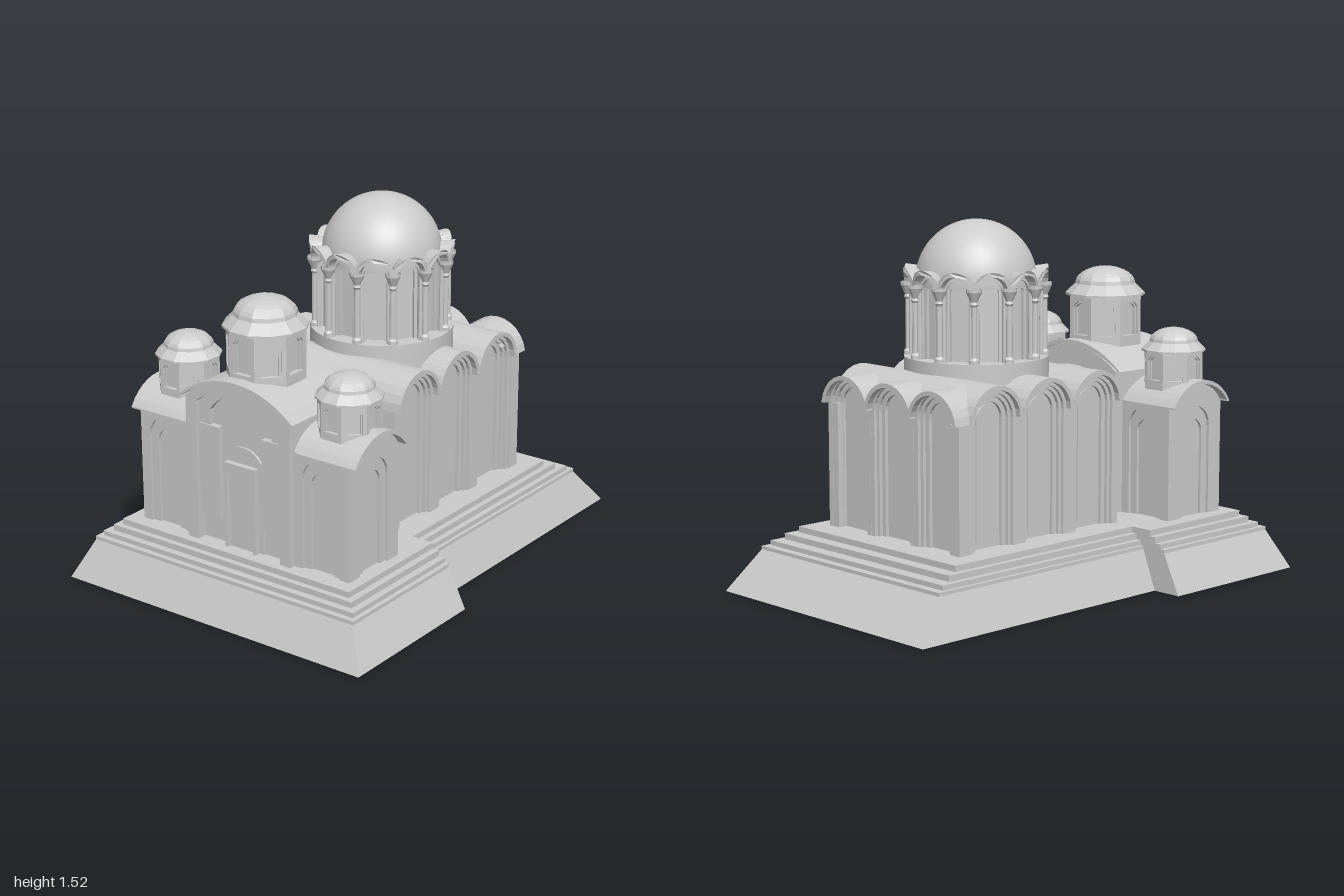
import * as THREE from 'three';

const stone = new THREE.MeshStandardMaterial({ color: 0xcccccc, flatShading: true, side: THREE.DoubleSide });
const smooth = new THREE.MeshStandardMaterial({ color: 0xcccccc });

function add(parent, name, geo, x = 0, y = 0, z = 0, rotY = 0, mat = stone) {
  const m = new THREE.Mesh(geo, mat);
  m.name = name;
  m.position.set(x, y, z);
  m.rotation.y = rotY;
  parent.add(m);
}

function sub(parent, name, x = 0, y = 0, z = 0, rotY = 0) {
  const g = new THREE.Group();
  g.name = name;
  g.position.set(x, y, z);
  g.rotation.y = rotY;
  parent.add(g);
  return g;
}

function box(parent, name, x0, x1, y0, y1, z0, z1) {
  add(parent, name, new THREE.BoxGeometry(x1 - x0, y1 - y0, z1 - z0),
    (x0 + x1) / 2, (y0 + y1) / 2, (z0 + z1) / 2);
}

// Arch outline [half width, bottom, spring height, rise]; rise 0 gives a rectangle
function outline([hw, y0, spring, rise], n = 12) {
  const pts = y0 < spring ? [new THREE.Vector2(-hw, y0)] : [];
  if (rise === 0) {
    pts.push(new THREE.Vector2(-hw, spring), new THREE.Vector2(hw, spring));
  } else {
    const r = (hw * hw + rise * rise) / (2 * rise), a = Math.asin(Math.min(1, hw / r));
    for (let i = 0; i <= n; i++) {
      const t = -a + (2 * a * i) / n;
      pts.push(new THREE.Vector2(r * Math.sin(t), spring + rise - r + r * Math.cos(t)));
    }
  }
  if (y0 < spring) pts.push(new THREE.Vector2(hw, y0));
  return pts;
}

// Solid arch, or a band open at the bottom when an inner outline is given, from z0 to z1
function arch(outer, inner, z0, z1) {
  const pts = outline(outer);
  if (inner) pts.push(...outline(inner).reverse());
  const g = new THREE.ExtrudeGeometry(new THREE.Shape(pts), { depth: z1 - z0, bevelEnabled: false });
  return g.translate(0, 0, z0);
}

// Stepped blind arch facing local +z; each ring sits further back than the one before
function blindArch(parent, name, outer, rings, depth, step) {
  let prev = outer;
  rings.forEach((r, i) => {
    add(parent, name + 'Ring', arch(prev, r, -depth, -step * i));
    prev = r;
  });
  add(parent, name + 'Panel', arch(prev, null, -depth, -step * rings.length));
}

// T-shaped plan: wide front, narrow back
function plan(wf, zf, wb, zb) {
  const zs = 0.28;
  return [[-wb, zb], [wb, zb], [wb, zs], [wf, zs], [wf, zf], [-wf, zf], [-wf, zs], [-wb, zs]];
}

function plinth(parent) {
  const lo = plan(0.74, 1, 0.61, -1), hi = plan(0.66, 0.925, 0.545, -0.86), pos = [];
  lo.forEach((a, i) => {
    const j = (i + 1) % lo.length, b = lo[j], c = hi[j], d = hi[i];
    pos.push(a[0], 0, a[1], d[0], 0.165, d[1], c[0], 0.165, c[1]);
    pos.push(a[0], 0, a[1], c[0], 0.165, c[1], b[0], 0, b[1]);
  });
  const slope = new THREE.BufferGeometry();
  slope.setAttribute('position', new THREE.Float32BufferAttribute(pos, 3));
  slope.computeVertexNormals();
  add(parent, 'plinthSlope', slope);
  // Steps, open under each hollow room
  const rooms = [[-0.33, 0.34, -0.55, 0.26], [-0.22, 0.235, 0.44, 0.75], [0.285, 0.49, 0.49, 0.75], [-0.475, -0.27, 0.49, 0.75]];
  const steps = [[0.66, 0.925, 0.545, -0.86, 0.18], [0.64, 0.9, 0.53, -0.825, 0.2],
    [0.61, 0.87, 0.505, -0.77, 0.225], [0.58, 0.845, 0.48, -0.715, 0.25]];
  steps.forEach(([a, b, c, d, top]) => {
    const shape = new THREE.Shape(plan(a, b, c, d).map(p => new THREE.Vector2(...p)));
    for (const [x0, x1, z0, z1] of rooms) {
      shape.holes.push(new THREE.Path([[x0, z0], [x0, z1], [x1, z1], [x1, z0]].map(p => new THREE.Vector2(...p))));
    }
    const g = new THREE.ExtrudeGeometry(shape, { depth: 0.025, bevelEnabled: false });
    add(parent, 'step', g.rotateX(Math.PI / 2), 0, top, 0);
  });
  // Footings of piers and walls under the floor
  for (const s of [-1, 1]) {
    for (const z of [0.27, 0.0075, -0.28, -0.57]) box(parent, 'footing', s * 0.37 - 0.025, s * 0.37 + 0.025, 0.12, 0.17, z - 0.03, z + 0.03);
    box(parent, 'footing', s * 0.13 - 0.03, s * 0.13 + 0.03, 0.12, 0.17, -0.61, -0.56);
    box(parent, 'footing', s * 0.245 - 0.015, s * 0.245 + 0.015, 0.12, 0.17, 0.28, 0.78);
  }
  for (const z of [0.46, 0.77]) box(parent, 'footing', -0.5, 0.5, 0.12, 0.17, z - 0.015, z + 0.015);
}

function nave(parent) {
  const g = sub(parent, 'nave');
  box(g, 'naveFrontWall', -0.385, 0.385, 0.24, 0.77, 0.262, 0.285);
  const rings = [0.108, 0.093, 0.072].map(r => [r, 0.25, 0.77, r]);
  // Cross vaults with stepped blind arches at both ends
  for (const z of [0.15, -0.135, -0.42]) {
    const v = sub(g, 'crossVault', 0, 0, z, Math.PI / 2);
    add(v, 'vaultRoof', arch([0.143, 0.77, 0.77, 0.14], [0.125, 0.77, 0.77, 0.122], -0.415, 0.415));
    add(v, 'vaultFill', arch([0.142, 0.7, 0.77, 0.13], null, -0.345, 0.345));
    for (const s of [-1, 1]) {
      const bay = sub(g, 'sideBay', s * 0.39, 0, z, s * Math.PI / 2);
      blindArch(bay, 'sideArch', [0.143, 0.25, 0.77, 0.13], rings, 0.06, 0.014);
      add(bay, 'sideWindow', arch([0.058, 0.28, 0.77, 0.058], null, -0.06, -0.036));
    }
  }
  // Short vaults along the back wall, running into the rear cross vault
  for (const x of [-0.265, 0, 0.265]) {
    const bay = sub(g, 'backBay', x, 0, -0.61, Math.PI);
    blindArch(bay, 'backArch', [0.132, 0.25, 0.77, 0.115], rings, 0.06, 0.014);
    add(bay, 'vaultRoof', arch([0.143, 0.77, 0.77, 0.125], [0.125, 0.77, 0.77, 0.107], -0.055, 0.028));
    add(bay, 'vaultCrown', arch([0.12, 0.82, 0.82, 0.075], null, -0.125, -0.05));
  }
  for (const s of [-1, 1]) box(g, 'cornerPier', s * 0.365 - 0.025, s * 0.365 + 0.025, 0.25, 0.77, -0.608, -0.55);
}

function mainDome(parent) {
  const g = sub(parent, 'mainDome', 0.025, 0, -0.13);
  add(g, 'drumBase', new THREE.CylinderGeometry(0.3, 0.3, 0.22, 48), 0, 0.85, 0, 0, smooth);
  add(g, 'drumWall', new THREE.CylinderGeometry(0.236, 0.236, 0.36, 12), 0, 1.13, 0, Math.PI / 12);
  add(g, 'dome', new THREE.SphereGeometry(0.25, 48, 20, 0, Math.PI * 2, 0, Math.PI * 0.52), 0, 1.27, 0, 0, smooth);
  // Scalloped canopy, widening outwards and bulging in plan
  const canopy = arch([0.078, 1.235, 1.25, 0.078], [0.06, 1.235, 1.25, 0.06], 0.22, 0.303);
  const p = canopy.attributes.position;
  for (let i = 0; i < p.count; i++) {
    const x = p.getX(i), z = p.getZ(i);
    p.setXYZ(i, x * z / 0.29, p.getY(i) + (z - 0.3) * 0.1, z > 0.25 ? z - 4 * x * x : z);
  }
  canopy.computeVertexNormals();
  const shaft = new THREE.LatheGeometry([[0.02, 0.96], [0.02, 0.975], [0.013, 0.985], [0.012, 1.19], [0.018, 1.2],
    [0.014, 1.21], [0.032, 1.25], [0.032, 1.262]].map(q => new THREE.Vector2(...q)), 12);
  const slim = new THREE.CylinderGeometry(0.009, 0.01, 0.29, 8);
  for (let k = 0; k < 12; k++) {
    const bay = sub(g, 'drumBay', 0, 0, 0, k * Math.PI / 6);
    add(bay, 'canopy', canopy);
    add(bay, 'windowSurround', arch([0.064, 0.96, 1.24, 0.064], [0.05, 0.96, 1.24, 0.05], 0.22, 0.256));
    add(bay, 'windowFrame', arch([0.05, 0.96, 1.24, 0.05], [0.036, 0.96, 1.24, 0.036], 0.22, 0.242));
    for (const s of [-1, 1]) add(bay, 'slimColumn', slim, s * 0.056, 1.105, 0.262);
    const corner = sub(g, 'drumCorner', 0, 0, 0, (k + 0.5) * Math.PI / 6);
    add(corner, 'column', shaft, 0, 0, 0.28);
  }
}

// Eight-sided lantern with a framed window per face and a faceted cap
function lantern(parent, x, y0, sill, eave, s) {
  const g = sub(parent, 'lantern', x, 0, 0.615);
  const turn = Math.PI / 8, ap = 0.152 * s, R = ap / Math.cos(turn), hw = R * Math.sin(turn);
  add(g, 'lanternBase', new THREE.CylinderGeometry(R, R, sill - y0, 8), 0, (sill + y0) / 2, 0, turn);
  add(g, 'lanternCore', new THREE.CylinderGeometry(R * 0.86, R * 0.86, eave - sill, 8), 0, (eave + sill) / 2, 0, turn);
  const o = 0.034 * s, spring = eave - 0.045 * s;
  for (let k = 0; k < 8; k++) {
    const face = sub(g, 'lanternFace', 0, 0, 0, k * 2 * turn);
    add(face, 'windowFrame', arch([hw, sill, eave, 0], [o + 0.009 * s, sill, spring, 0.026 * s], ap * 0.85, ap));
    add(face, 'windowTrim', arch([o + 0.009 * s, sill, spring, 0.026 * s], [o, sill, spring, 0.018 * s], ap * 0.85, ap * 0.94));
  }
  const cap = [[0, 0], [0.172, 0], [0.172, 0.01], [0.13, 0.05]];
  for (let i = 1; i <= 7; i++) {
    const a = i * Math.PI / 14;
    cap.push([0.13 * Math.cos(a), 0.05 + 0.074 * Math.sin(a)]);
  }
  const profile = cap.map(([r, y]) => new THREE.Vector2(Math.max(r, 0) * s, y * s));
  add(g, 'lanternCap', new THREE.LatheGeometry(profile, 12), 0, eave, 0, Math.PI / 12);
}

function narthex(parent) {
  const g = sub(parent, 'narthex');
  // Link to the nave
  add(g, 'linkBlock', arch([0.26, 0.25, 0.78, 0.085], null, 0.27, 0.42));
  // Central block with recessed doorway
  const gable = [0.26, 0.25, 0.86, 0.09];
  add(g, 'centralWalls', arch(gable, [0.235, 0.25, 0.84, 0.08], 0.42, 0.75));
  add(g, 'centralBackWall', arch(gable, null, 0.412, 0.43));
  add(g, 'centralFrontWall', arch(gable, null, 0.75, 0.765));
  add(g, 'frontFrame', arch(gable, [0.209, 0.25, 0.845, 0.08], 0.765, 0.81));
  add(g, 'centralRoof', arch([0.287, 0.855, 0.86, 0.11], [0.275, 0.855, 0.86, 0.09], 0.41, 0.825));
  add(g, 'lunetteSurround', arch([0.209, 0.75, 0.845, 0.08], [0.155, 0.75, 0.815, 0.085], 0.76, 0.785));
  for (const s of [-1, 1]) box(g, 'frontPanel', s * 0.1585 - 0.05, s * 0.1585 + 0.05, 0.355, 0.75, 0.76, 0.792);
  add(g, 'doorArch', arch([0.1, 0.25, 0.62, 0.065], null, 0.76, 0.775));
  add(g, 'doorFrame', arch([0.077, 0.25, 0.615, 0], [0.064, 0.25, 0.575, 0], 0.76, 0.8));
  add(g, 'door', arch([0.064, 0.25, 0.575, 0], null, 0.76, 0.783));
  lantern(g, -0.004, 0.88, 0.985, 1.15, 1);
  // Side wings with cross gables
  for (const s of [-1, 1]) {
    const wing = sub(g, s > 0 ? 'leftWing' : 'rightWing');
    const x = s * 0.39, rings = [[0.09, 0.25, 0.63, 0.09], [0.055, 0.25, 0.61, 0.055]];
    for (const [z, r] of [[0.782, 0], [0.458, Math.PI]]) {
      const front = sub(wing, 'wingFront', x, 0, z, r);
      blindArch(front, 'wingArch', [0.133, 0.25, 0.735, 0], rings, 0.03, 0.012);
    }
    const end = sub(wing, 'wingEnd', s * 0.526, 0, 0.62, s * Math.PI / 2);
    blindArch(end, 'wingArch', [0.162, 0.25, 0.73, 0.09], rings, 0.04, 0.012);
    const top = sub(wing, 'wingTop', s * 0.41, 0, 0.62, s * Math.PI / 2);
    add(top, 'wingVault', arch([0.162, 0.7, 0.73, 0.09], null, -0.15, 0.1));
    add(top, 'wingRoof', arch([0.172, 0.728, 0.735, 0.1], [0.16, 0.728, 0.735, 0.083], -0.13, 0.155));
    lantern(wing, s * 0.405, 0.78, 0.83, 0.947, 0.79);
  }
}

export function createModel() {
  const church = new THREE.Group();
  church.name = 'domedChurch';
  plinth(church);
  const building = sub(church, 'building', 0.008);
  nave(building);
  narthex(building);
  mainDome(church);
  return church;
}
